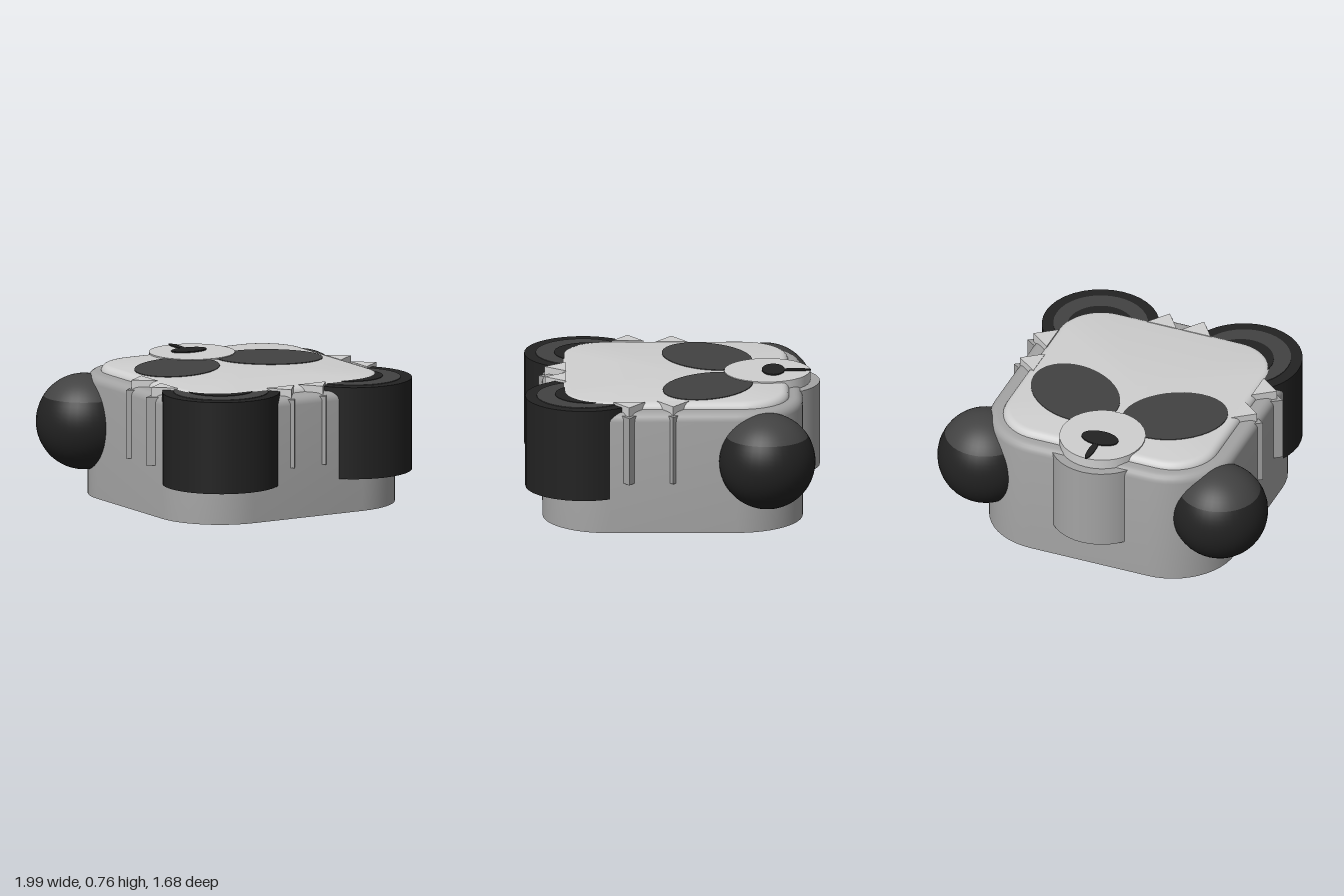
import * as THREE from 'three';
import { toCreasedNormals } from 'three/addons/utils/BufferGeometryUtils.js';

const flat = (name, color) => {
  const m = new THREE.MeshStandardMaterial({ color });
  m.name = name;
  return m;
};

// Rounded square slab lofted through [height, inset] layers
function roundedSlab(half, radius, layers) {
  const pos = [], index = [], steps = 12, n = 4 * (steps + 1);
  for (const [y, inset] of layers) {
    const c = half - radius, r = radius - inset;
    for (let q = 0; q < 4; q++) {
      const mid = (q + 0.5) * Math.PI / 2;
      for (let i = 0; i <= steps; i++) {
        const a = (q + i / steps) * Math.PI / 2;
        pos.push(c * Math.sign(Math.cos(mid)) + r * Math.cos(a), y, c * Math.sign(Math.sin(mid)) + r * Math.sin(a));
      }
    }
  }
  for (let k = 0; k < layers.length - 1; k++) {
    for (let i = 0; i < n; i++) {
      const a = k * n + i, b = k * n + (i + 1) % n;
      index.push(a, a + n, b, b, a + n, b + n);
    }
  }
  // Bottom and top caps
  const top = (layers.length - 1) * n, base = pos.length / 3;
  pos.push(0, layers[0][0], 0, 0, layers[layers.length - 1][0], 0);
  for (let i = 0; i < n; i++) {
    const j = (i + 1) % n;
    index.push(base, i, j, base + 1, top + j, top + i);
  }
  const g = new THREE.BufferGeometry();
  g.setAttribute('position', new THREE.Float32BufferAttribute(pos, 3));
  g.setIndex(index);
  return toCreasedNormals(g, 0.7);
}

// Quarter-round layers ending at a given height
function fillet(top, r) {
  const out = [];
  for (let i = 0; i <= 5; i++) {
    const a = i / 5 * Math.PI / 2;
    out.push([top - r + r * Math.sin(a), r * (1 - Math.cos(a))]);
  }
  return out;
}

export function createModel() {
  const model = new THREE.Group();
  model.name = 'bearFace';
  const light = flat('lightFur', 0xcfcfcf);
  const grey = flat('greyFur', 0xa4a4a4);
  const dark = flat('darkGrey', 0x424242);
  const black = flat('black', 0x222222);

  const add = (name, geometry, material, x = 0, y = 0, z = 0) => {
    const mesh = new THREE.Mesh(geometry, material);
    mesh.name = name;
    mesh.position.set(x, y, z);
    model.add(mesh);
    return mesh;
  };
  // Upright cylinder given by its bottom and top heights
  const drum = (name, r, y0, y1, material, x, z) =>
    add(name, new THREE.CylinderGeometry(r, r, y1 - y0, 36), material, x, (y0 + y1) / 2, z);

  // Body and raised face
  add('body', roundedSlab(0.74, 0.38, [[0, 0], ...fillet(0.705, 0.05)]), grey);
  add('face', roundedSlab(0.65, 0.27, [[0.66, 0], ...fillet(0.742, 0.045)]), light, 0, 0, -0.013);

  // Ears, paws and eye patches, mirrored
  for (const s of [-1, 1]) {
    const split = 1.0;
    add('earBase', new THREE.SphereGeometry(0.275, 36, 20, 0, Math.PI * 2, split, Math.PI - split), black, s * 0.72, 0.42, -0.535);
    add('earTip', new THREE.SphereGeometry(0.275, 36, 10, 0, Math.PI * 2, 0, split), dark, s * 0.72, 0.42, -0.535);

    drum('paw', 0.335, 0.2, 0.73, black, s * 0.44, 0.505);
    drum('pawPad', 0.27, 0.729, 0.734, dark, s * 0.44, 0.505);
    drum('pawCentre', 0.19, 0.733, 0.737, black, s * 0.43, 0.48);

    const eye = drum('eyePatch', 1, 0.739, 0.746, dark, s * 0.305, -0.2);
    eye.scale.set(0.307, 1, 0.229);
    eye.rotation.y = -s * 0.61;
  }

  // Muzzle, nose and nose line
  drum('muzzleBase', 0.29, 0.2, 0.69, grey, 0, -0.55);
  drum('muzzleTop', 0.245, 0.68, 0.75, light, 0, -0.54);
  drum('nose', 1, 0.749, 0.757, black, 0, -0.575).scale.set(0.11, 1, 0.065);
  drum('noseLine', 1, 0.749, 0.756, black, 0, -0.7).scale.set(0.02, 1, 0.09);

  // Pointed fur tufts: triangular prisms aimed outwards
  const tuft = (name, x, z, angle, depth, halfWidth, y0, y1, material) => {
    const shape = new THREE.Shape([
      new THREE.Vector2(0, 0),
      new THREE.Vector2(-depth, halfWidth),
      new THREE.Vector2(-depth, -halfWidth),
    ]);
    const g = new THREE.ExtrudeGeometry(shape, { depth: y1 - y0, bevelEnabled: false });
    g.rotateX(-Math.PI / 2);
    add(name, g, material, x, y0, z).rotation.y = angle;
  };
  const spots = [];
  for (const s of [-1, 1]) {
    const side = s > 0 ? 0 : Math.PI;
    spots.push([s, 0, 0.765, 0, side], [s, 0, 0.785, 0.25, side], [0, 1, s * 0.105, 0.76, -Math.PI / 2]);
  }
  for (const [dx, dz, x, z, angle] of spots) {
    const px = dx ? dx * x : x;
    tuft('tuftBase', px, z, angle, 0.13, 0.09, 0.295, 0.69, grey);
    tuft('tuftTop', px - dx * 0.035, z - dz * 0.035, angle, 0.12, 0.09, 0.685, 0.744, light);
  }
  return model;
}
